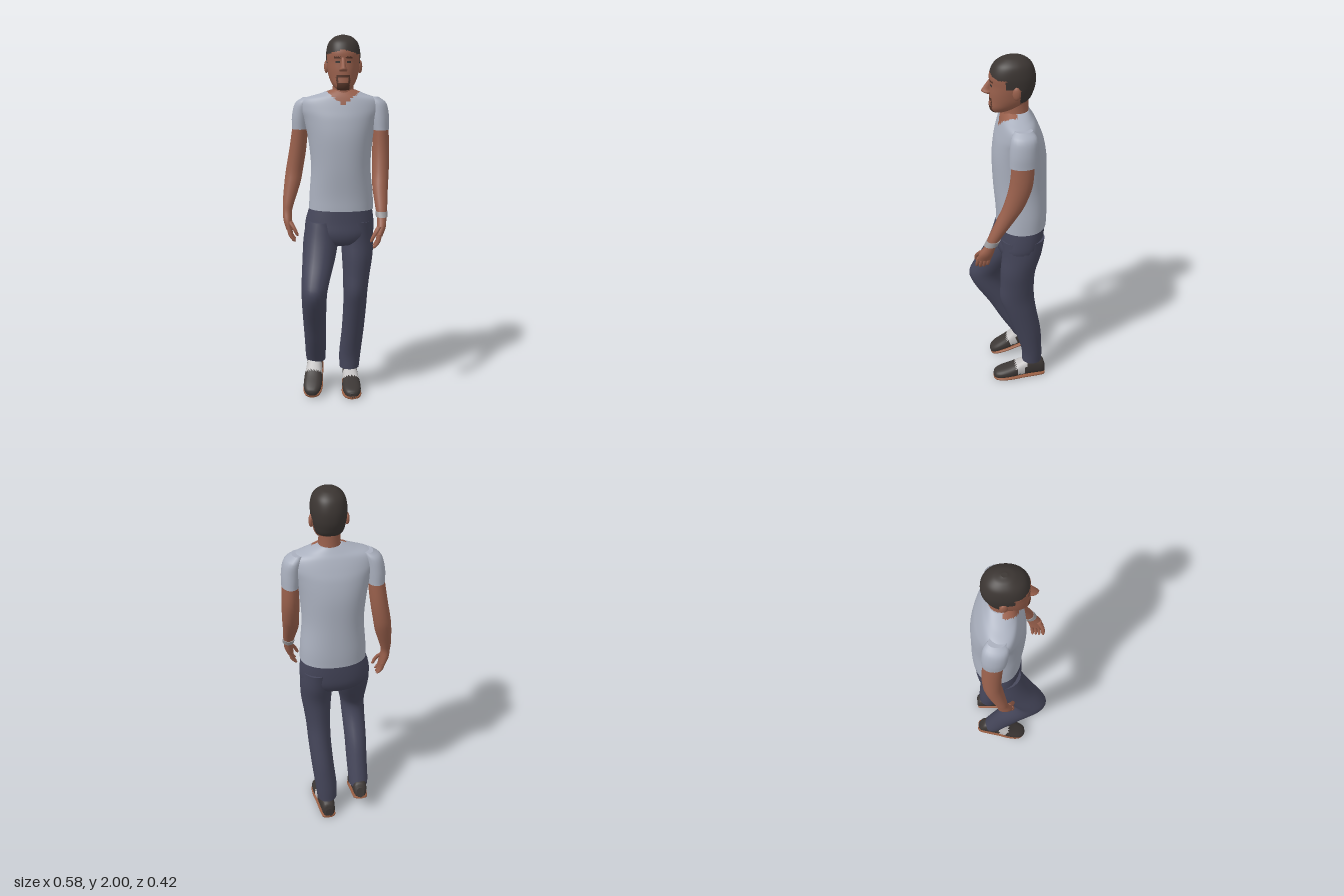
import * as THREE from 'three';

const mat = (name, color) => {
  const m = new THREE.MeshStandardMaterial({ color });
  m.name = name;
  return m;
};

// Closed loft through horizontal sections [x, y, z, radiusX, radiusZ], smoothed between them.
// paint(x, y, z) returns a material index for each face.
function loft(sections, { seg = 20, sub = 4, power = 2, paint = null } = {}) {
  const s = sections[0][1] < sections[sections.length - 1][1] ? [...sections].reverse() : sections;
  const curve = (pts) => new THREE.CatmullRomCurve3(pts, false, 'catmullrom', 0.5);
  const centres = curve(s.map((r) => new THREE.Vector3(r[0], r[1], r[2])));
  const radii = curve(s.map((r) => new THREE.Vector3(r[3], r[4], 0)));
  const rows = (s.length - 1) * sub;
  const pos = [], faces = [];
  const bend = (v) => Math.sign(v) * Math.pow(Math.abs(v), 2 / power);
  const ring = (t) => {
    const start = pos.length / 3, c = centres.getPoint(t), r = radii.getPoint(t);
    for (let j = 0; j < seg; j++) {
      const a = (j / seg) * Math.PI * 2;
      pos.push(c.x + r.x * bend(Math.cos(a)), c.y, c.z + r.y * bend(Math.sin(a)));
    }
    return start;
  };
  for (let i = 0; i <= rows; i++) ring(i / rows);
  for (let i = 0; i < rows; i++) {
    for (let j = 0; j < seg; j++) {
      const k = (j + 1) % seg, a = i * seg, b = a + seg;
      faces.push([a + j, a + k, b + j], [a + k, b + k, b + j]);
    }
  }
  // flat end caps
  for (const end of [0, 1]) {
    const e = ring(end), c = centres.getPoint(end), p = pos.length / 3;
    pos.push(c.x, c.y, c.z);
    for (let j = 0; j < seg; j++) {
      const k = (j + 1) % seg;
      faces.push(end ? [p, e + j, e + k] : [p, e + k, e + j]);
    }
  }
  const geo = new THREE.BufferGeometry();
  geo.setAttribute('position', new THREE.Float32BufferAttribute(pos, 3));
  if (paint) {
    const buckets = [];
    for (const f of faces) {
      const mid = [0, 1, 2].map((d) => (pos[f[0] * 3 + d] + pos[f[1] * 3 + d] + pos[f[2] * 3 + d]) / 3);
      (buckets[paint(...mid)] ??= []).push(...f);
    }
    let start = 0;
    buckets.forEach((b, i) => { geo.addGroup(start, b.length, i); start += b.length; });
    geo.setIndex(buckets.flat());
  } else geo.setIndex(faces.flat());
  geo.computeVertexNormals();
  return geo;
}

export function createModel() {
  const model = new THREE.Group();
  const skin = mat('skin', 0x99604c), shirt = mat('shirt grey', 0xaab0be), denim = mat('dark denim', 0x444559);
  const hair = mat('hair', 0x3b3532), beard = mat('beard', 0x553529), shoe = mat('shoe', 0x3c3735);
  const sole = mat('sole', 0x9a5f43), light = mat('lace grey', 0xc4c2c2), metal = mat('watch metal', 0x9c9a9c);
  const add = (name, geo, material, parent = model) => {
    const m = new THREE.Mesh(geo, material);
    m.name = name;
    parent.add(m);
    return m;
  };

  // Head, with hair, brows, eyes and beard as painted faces
  const cx = 0.042;
  const facePaint = (x, y, z) => {
    const dx = Math.abs(x - cx);
    const hairline = z > 0.065 ? 1.925 - dx * 0.3 : z > 0.025 ? 1.9 : z > -0.045 ? 1.855 : 1.775;
    if (y > hairline) return 1;
    if (z < 0.03) return 0;
    if (dx > 0.014 && dx < 0.05 && y > 1.877 && y < 1.888) return 2;
    if (dx > 0.02 && dx < 0.042 && y > 1.855 && y < 1.865) return 1;
    if (dx < 0.034 && y > 1.781 && y < 1.796) return 2;
    if (dx > 0.027 && dx < 0.036 && y > 1.75 && y < 1.79) return 2;
    if (dx < 0.033 && y < 1.754) return 2;
    return 0;
  };
  add('head', loft([
    [cx, 2.0, -0.02, 0.012, 0.015], [cx, 1.99, -0.02, 0.045, 0.055], [cx, 1.96, -0.017, 0.077, 0.094],
    [cx, 1.91, -0.015, 0.09, 0.114], [cx, 1.86, -0.016, 0.089, 0.114], [cx, 1.82, -0.01, 0.084, 0.11],
    [cx, 1.78, 0, 0.075, 0.1], [cx, 1.745, 0.025, 0.059, 0.077], [cx, 1.72, 0.05, 0.036, 0.042],
    [cx, 1.714, 0.052, 0.018, 0.02],
  ], { seg: 72, sub: 8, power: 2.2, paint: facePaint }), [skin, hair, beard]);
  add('nose', loft([
    [cx, 1.882, 0.094, 0.009, 0.008], [cx, 1.838, 0.108, 0.014, 0.026],
    [cx, 1.822, 0.108, 0.022, 0.029], [cx, 1.812, 0.1, 0.018, 0.015],
  ], { seg: 12 }), skin);
  for (const side of [-1, 1]) {
    const ear = add(side > 0 ? 'leftEar' : 'rightEar', new THREE.SphereGeometry(1, 12, 10), skin);
    ear.scale.set(0.012, 0.034, 0.021);
    ear.position.set(cx + side * 0.089, 1.835, -0.025);
    ear.rotation.y = side * -0.3;
  }
  add('neck', loft([
    [cx, 1.8, -0.035, 0.056, 0.062], [cx, 1.74, -0.035, 0.055, 0.062],
    [cx, 1.69, -0.035, 0.062, 0.065], [cx, 1.64, -0.035, 0.08, 0.07],
  ]), skin);

  // T-shirt with an open collar
  const collar = (x, y, z) => (z > -0.03 && y > 1.635 + Math.abs(x - cx) * 0.8 ? 1 : 0);
  add('shirtBody', loft([
    [0.043, 1.715, -0.04, 0.062, 0.058], [0.036, 1.69, -0.04, 0.13, 0.075], [0.028, 1.662, -0.043, 0.205, 0.09],
    [0.027, 1.61, -0.047, 0.216, 0.11], [0.027, 1.55, -0.05, 0.197, 0.128], [0.028, 1.45, -0.053, 0.176, 0.141],
    [0.03, 1.3, -0.057, 0.163, 0.14], [0.032, 1.15, -0.065, 0.174, 0.135], [0.032, 1.065, -0.065, 0.178, 0.133],
  ], { seg: 56, sub: 6, power: 2.2, paint: collar }), [shirt, skin]);
  add('rightSleeve', loft([
    [-0.145, 1.672, -0.06, 0.03, 0.045], [-0.172, 1.64, -0.066, 0.046, 0.064],
    [-0.186, 1.57, -0.073, 0.05, 0.066], [-0.19, 1.5, -0.078, 0.046, 0.061],
  ]), shirt);
  add('leftSleeve', loft([
    [0.205, 1.674, -0.05, 0.03, 0.045], [0.23, 1.64, -0.05, 0.046, 0.066],
    [0.239, 1.57, -0.046, 0.052, 0.07], [0.245, 1.5, -0.045, 0.047, 0.07],
  ]), shirt);

  // Arms down to the knuckles
  add('rightArm', loft([
    [-0.187, 1.55, -0.075, 0.042, 0.052], [-0.205, 1.4, -0.09, 0.046, 0.052], [-0.225, 1.28, -0.092, 0.047, 0.048],
    [-0.238, 1.2, -0.078, 0.044, 0.044], [-0.258, 1.1, -0.052, 0.032, 0.034], [-0.264, 1.05, -0.04, 0.025, 0.029],
    [-0.262, 1.0, -0.03, 0.024, 0.038], [-0.252, 0.95, -0.022, 0.018, 0.038],
  ]), skin);
  add('leftArm', loft([
    [0.244, 1.55, -0.045, 0.042, 0.056], [0.247, 1.4, -0.035, 0.046, 0.06], [0.245, 1.28, 0, 0.045, 0.055],
    [0.242, 1.2, 0.04, 0.042, 0.048], [0.246, 1.1, 0.098, 0.032, 0.035], [0.248, 1.05, 0.122, 0.025, 0.03],
    [0.245, 1.0, 0.145, 0.024, 0.038], [0.234, 0.955, 0.158, 0.018, 0.037],
  ]), skin);
  // Four curled fingers and a thumb; inward points towards the body
  const hand = (name, x, y, z, inward) => {
    const g = new THREE.Group();
    g.name = name;
    for (let i = 0; i < 4; i++) {
      const fz = z + (i - 1.5) * 0.019, drop = 0.062 - Math.abs(i - 1.6) * 0.007;
      add('finger', loft([
        [x, y + 0.012, fz, 0.013, 0.011], [x + inward * 0.006, y - drop * 0.5, fz + 0.006, 0.011, 0.01],
        [x + inward * 0.024, y - drop, fz + 0.008, 0.009, 0.008],
        [x + inward * 0.03, y - drop - 0.006, fz + 0.008, 0.004, 0.004],
      ], { seg: 8, sub: 2 }), skin, g);
    }
    add('thumb', loft([
      [x, y + 0.05, z + 0.012, 0.015, 0.014], [x + inward * 0.025, y + 0.015, z + 0.034, 0.012, 0.012],
      [x + inward * 0.042, y - 0.02, z + 0.038, 0.009, 0.009], [x + inward * 0.045, y - 0.028, z + 0.038, 0.004, 0.004],
    ], { seg: 8, sub: 2 }), skin, g);
    model.add(g);
  };
  hand('rightHand', -0.252, 0.95, -0.022, 1);
  hand('leftHand', 0.234, 0.955, 0.158, -1);
  add('watchBand', loft([
    [0.247, 1.078, 0.108, 0.033, 0.036], [0.248, 1.05, 0.122, 0.031, 0.036],
  ], { seg: 16, sub: 1 }), metal);

  // Trousers
  add('trouserHips', loft([
    [0.031, 1.09, -0.065, 0.168, 0.125], [0.024, 1.0, -0.062, 0.188, 0.127],
    [0.022, 0.93, -0.055, 0.186, 0.125], [0.022, 0.88, -0.05, 0.14, 0.1], [0.022, 0.86, -0.05, 0.06, 0.05],
  ], { seg: 32, power: 2.2 }), denim);
  add('rightTrouserLeg', loft([
    [-0.075, 1.0, -0.045, 0.085, 0.108], [-0.08, 0.9, -0.02, 0.096, 0.112], [-0.09, 0.8, 0.03, 0.09, 0.104],
    [-0.105, 0.7, 0.09, 0.078, 0.099], [-0.113, 0.63, 0.12, 0.07, 0.093], [-0.115, 0.55, 0.097, 0.067, 0.087],
    [-0.115, 0.42, 0.018, 0.063, 0.083], [-0.113, 0.3, -0.04, 0.06, 0.075], [-0.113, 0.2, -0.09, 0.057, 0.064],
    [-0.112, 0.165, -0.105, 0.054, 0.06],
  ]), denim);
  add('leftTrouserLeg', loft([
    [0.12, 1.0, -0.065, 0.088, 0.118], [0.122, 0.9, -0.058, 0.09, 0.107], [0.122, 0.8, -0.04, 0.085, 0.097],
    [0.118, 0.7, -0.036, 0.075, 0.094], [0.113, 0.6, -0.037, 0.068, 0.096], [0.11, 0.5, -0.06, 0.065, 0.088],
    [0.1, 0.35, -0.1, 0.063, 0.076], [0.085, 0.2, -0.128, 0.062, 0.06], [0.081, 0.11, -0.132, 0.056, 0.058],
  ]), denim);

  // Shoes: lofted heel to toe along the length, origin under the toe tip
  const profile = [ // distance from heel, half width, height
    [0, 0.022, 0.06], [0.015, 0.037, 0.095], [0.08, 0.043, 0.12], [0.14, 0.046, 0.1],
    [0.2, 0.052, 0.074], [0.26, 0.049, 0.056], [0.295, 0.034, 0.042], [0.307, 0.014, 0.026],
  ];
  const makeShoe = (name, x, y, z, pitch, yaw) => {
    const g = new THREE.Group();
    g.name = name;
    const trim = (px, len, nz) => {
      const laces = len > -0.2 && len < -0.13 && -nz > 0.075;
      const patch = len > -0.185 && len < -0.14 && -nz > 0.03 && Math.abs(px) > 0.035;
      return laces || patch ? 1 : 0;
    };
    const upper = profile.map(([l, w, h]) => [0, l - 0.307, -h / 2 - 0.006, w, h / 2]);
    const base = profile.map(([l, w]) => [0, l - 0.307, -0.008, w + 0.003, 0.008]);
    add('shoeUpper', loft(upper, { seg: 24, power: 2.5, paint: trim }).rotateX(Math.PI / 2), [shoe, light], g);
    add('shoeSole', loft(base, { seg: 16, power: 4 }).rotateX(Math.PI / 2), sole, g);
    g.position.set(x, y, z);
    g.rotation.set(pitch, yaw, 0, 'YXZ');
    model.add(g);
  };
  makeShoe('leftShoe', 0.098, 0, 0.098, 0, 0.06);
  makeShoe('rightShoe', -0.132, 0.005, 0.085, 0.36, -0.08);

  return model;
}
